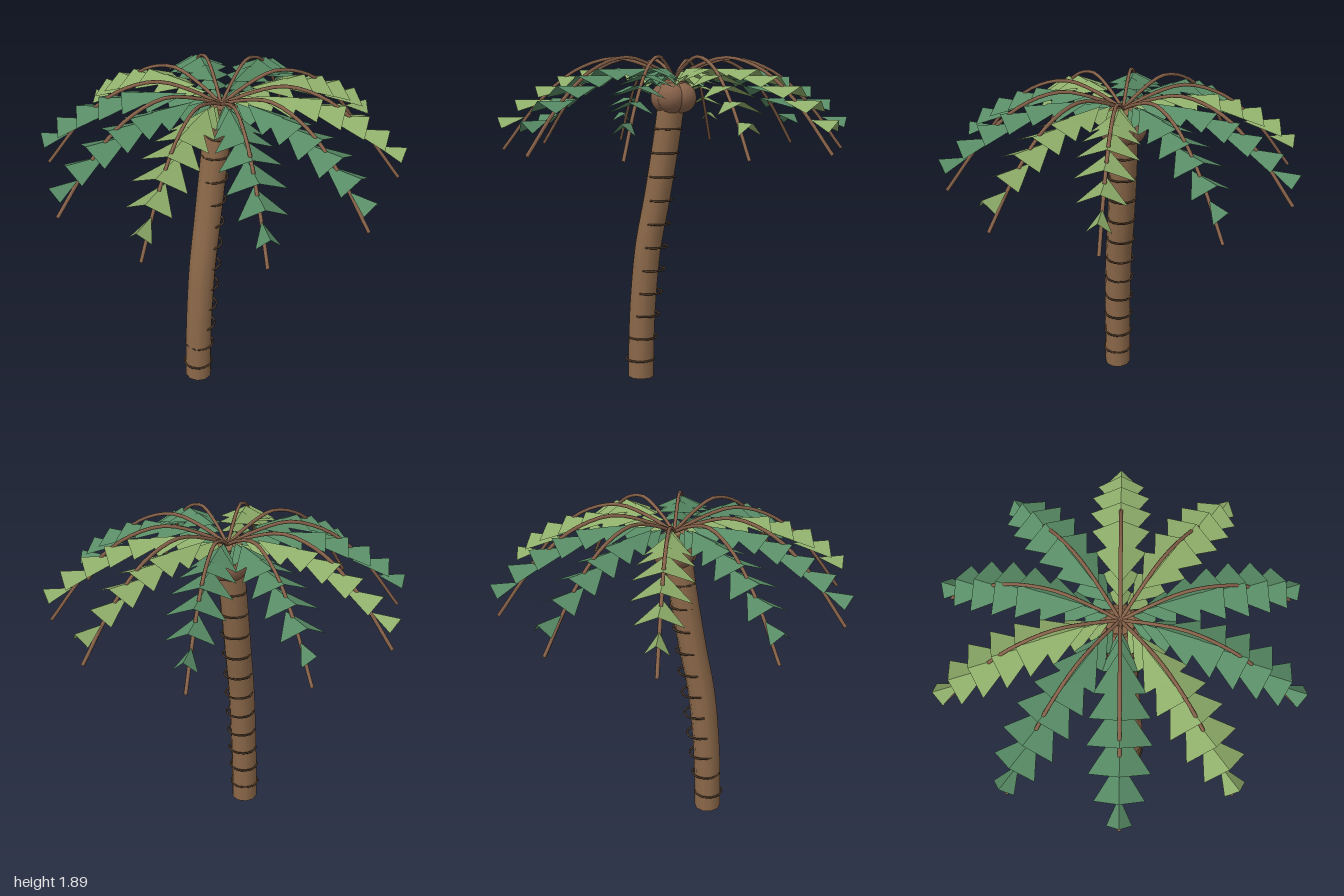
import * as THREE from 'three';

const mat = (name, color, extra = {}) => {
  const m = new THREE.MeshStandardMaterial({ color, ...extra });
  m.name = name;
  return m;
};

export function createModel() {
  const model = new THREE.Group();
  model.name = 'palmTree';

  const bark = mat('barkBrown', 0x8b6849);
  const ringBrown = mat('ringDarkBrown', 0x4f3b2a);
  const nutBrown = mat('nutBrown', 0x87624a);
  const leafOptions = { side: THREE.DoubleSide, flatShading: true };
  const lightGreen = mat('lightGreen', 0x8fae6a, leafOptions);
  const darkGreen = mat('darkGreen', 0x588c66, leafOptions);

  const add = (parent, name, geometry, material) => {
    const mesh = new THREE.Mesh(geometry, material);
    mesh.name = name;
    parent.add(mesh);
    return mesh;
  };
  const curve = (points) => new THREE.CatmullRomCurve3(points.map((p) => new THREE.Vector3(...p)));

  // Leaning, bowed trunk with closed ends
  const trunkPath = curve([
    [-0.2, 0.004, 0.058], [-0.194, 0.28, 0.058], [-0.18, 0.52, 0.055], [-0.153, 0.8, 0.045],
    [-0.105, 1.08, 0.024], [-0.047, 1.45, 0.004], [-0.003, 1.76, 0],
  ]);
  add(model, 'trunk', new THREE.TubeGeometry(trunkPath, 28, 0.079, 10), bark);
  [0, 1].forEach((t) => {
    const cap = add(model, t ? 'trunkTop' : 'trunkBase', new THREE.CircleGeometry(0.079, 10), bark);
    cap.position.copy(trunkPath.getPoint(t));
    const out = trunkPath.getTangent(t).multiplyScalar(t ? 1 : -1);
    cap.quaternion.setFromUnitVectors(new THREE.Vector3(0, 0, 1), out);
  });

  // Level bark rings along a straight line, so they stand proud of the bow
  const ringGeometry = new THREE.TorusGeometry(0.081, 0.006, 6, 20).rotateX(Math.PI / 2);
  for (let i = 0; i < 12; i++) {
    const y = 0.11 + i * 0.1373;
    const ring = add(model, 'barkRing', ringGeometry, ringBrown);
    ring.position.set(-0.216 + 0.119 * y, y, 0.064 - 0.04 * y);
    ring.scale.setScalar(1.02 - 0.006 * i);
  }

  // Ring of five nuts under the crown
  const nutGeometry = new THREE.SphereGeometry(0.087, 16, 12);
  for (let i = 0; i < 5; i++) {
    const a = (i * Math.PI * 2) / 5;
    const nut = add(model, 'nut', nutGeometry, nutBrown);
    nut.position.set(Math.cos(a) * 0.048, 1.66, Math.sin(a) * 0.048);
  }

  // Frond stem arching out and down along +x
  const stemPath = curve([
    [0, 1.765, 0], [0.15, 1.835, 0], [0.34, 1.88, 0], [0.56, 1.81, 0],
    [0.76, 1.64, 0], [0.97, 1.37, 0],
  ]);
  const stemGeometry = new THREE.TubeGeometry(stemPath, 20, 0.01, 6);

  // Leaflets: folded darts, each [outer radius, crest height, half width, length]
  const leaflets = [
    [1.0, 1.552, 0.064, 0.16], [0.9, 1.65, 0.125, 0.22], [0.785, 1.725, 0.152, 0.25],
    [0.66, 1.78, 0.16, 0.25], [0.535, 1.815, 0.15, 0.25], [0.41, 1.82, 0.13, 0.23],
    [0.29, 1.805, 0.1, 0.19], [0.19, 1.78, 0.07, 0.13],
  ];
  const corners = [];
  for (const [r, y, w, len] of leaflets) {
    const inner = [r - len, y, 0];
    const outer = [r, y, 0];
    const tip = (side) => [r - 0.03, y - 0.062, side * w];
    corners.push(...inner, ...tip(1), ...outer, ...inner, ...outer, ...tip(-1));
  }
  const leafGeometry = new THREE.BufferGeometry();
  leafGeometry.setAttribute('position', new THREE.Float32BufferAttribute(corners, 3));
  leafGeometry.computeVertexNormals();

  // Ten fronds around the crown
  const lightFronds = [0, 1, 4, 7];
  for (let i = 0; i < 10; i++) {
    const frond = new THREE.Group();
    frond.name = 'frond';
    frond.rotation.y = (-i * Math.PI) / 5;
    add(frond, 'frondStem', stemGeometry, nutBrown);
    add(frond, 'frondLeaflets', leafGeometry, lightFronds.includes(i) ? lightGreen : darkGreen);
    model.add(frond);
  }

  return model;
}
